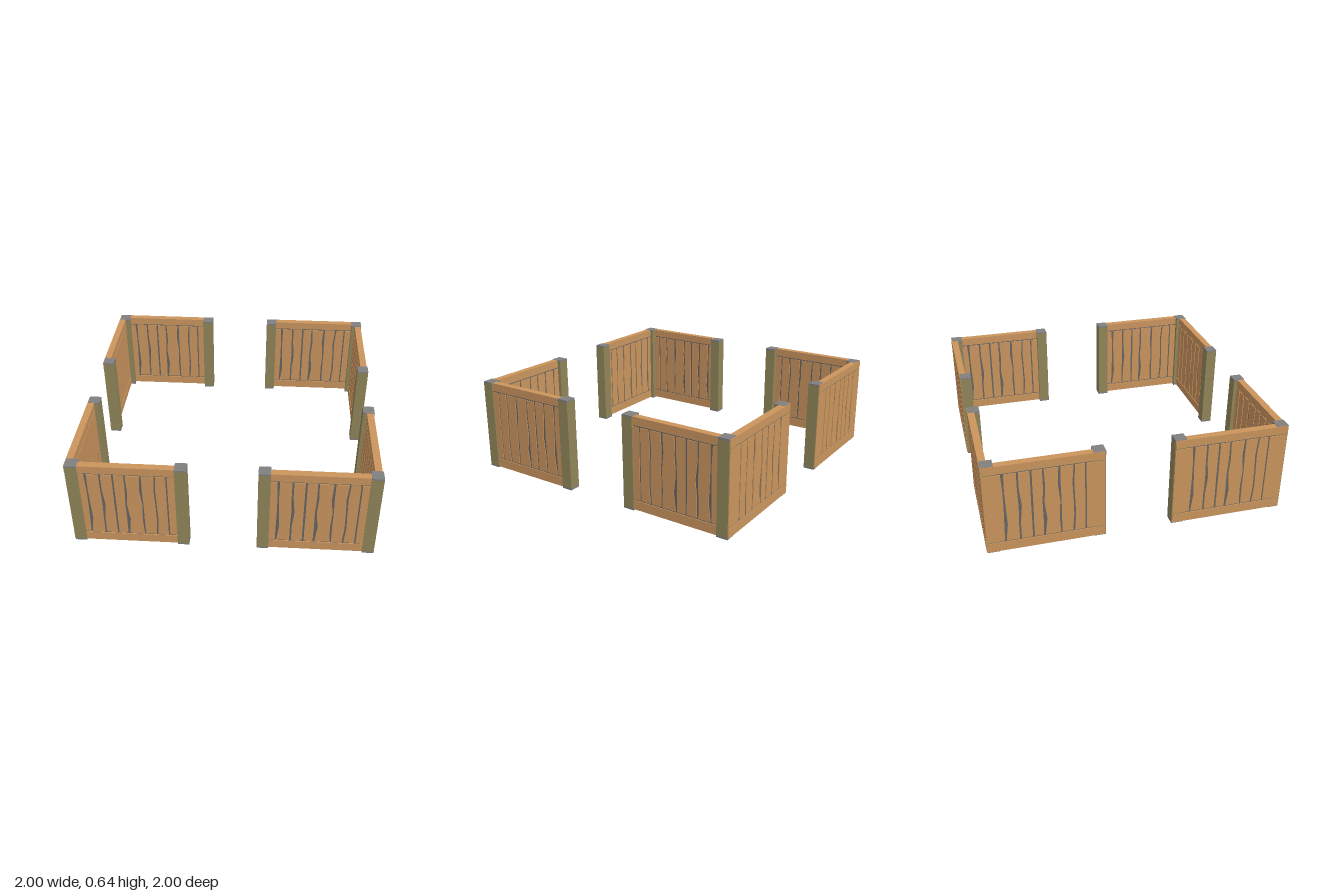
import * as THREE from 'three';

const paint = (color) => new THREE.MeshStandardMaterial({ color, flatShading: true });
const wood = paint(0xcb955e), olive = paint(0x91865a), grey = paint(0x808080), dark = paint(0x666666);

const HEIGHT = 0.64, POST = 0.078, THICK = 0.047, HALF = 0.383;
const PLANK_LOW = 0.078, PLANK_HIGH = 0.573;

// Gaps between planks: centre, then sideways shift and width at five heights (bottom to top)
const GAPS = [
  [-0.258, [-0.006, 0.003, 0.002, 0, -0.002], [0.010, 0.022, 0.014, 0.010, 0.018]],
  [-0.168, [0, 0, 0.008, 0, 0], [0.012, 0.012, 0.020, 0.012, 0.012]],
  [-0.085, [0, 0, 0, 0, 0], [0.012, 0.012, 0.014, 0.012, 0.012]],
  [-0.010, [-0.004, 0.004, -0.004, 0.003, 0], [0.012, 0.024, 0.012, 0.014, 0.010]],
  [0.092, [0.004, 0, 0.004, -0.004, 0], [0.010, 0.014, 0.008, 0.018, 0.012]],
  [0.180, [-0.004, 0.005, 0.002, -0.003, 0.006], [0.012, 0.012, 0.010, 0.012, 0.010]],
  [0.257, [0, 0, 0, 0, 0], [0.010, 0.010, 0.010, 0.010, 0.010]],
];

function box(name, w, h, d, material, x, y, z) {
  const mesh = new THREE.Mesh(new THREE.BoxGeometry(w, h, d), material);
  mesh.name = name;
  mesh.position.set(x, y, z);
  return mesh;
}

// One side of a gap as points going up the plank
function gapEdge([centre, shift, width], side) {
  return shift.map((s, i) => new THREE.Vector2(
    centre + s + side * width[i] / 2,
    THREE.MathUtils.lerp(PLANK_LOW, PLANK_HIGH, i / 4)));
}

const endEdge = (x) => [new THREE.Vector2(x, PLANK_LOW), new THREE.Vector2(x, PLANK_HIGH)];

// Plank wall along x: two rails, uneven planks and a dark core showing in the gaps
function makeWall() {
  const wall = new THREE.Group();
  wall.name = 'wall';
  wall.add(box('bottomRail', 2 * HALF, 0.064, THICK, wood, 0, 0.038, 0));
  wall.add(box('topRail', 2 * HALF, 0.056, THICK, wood, 0, 0.61, 0));
  wall.add(box('core', 2 * HALF - 0.01, 0.53, THICK - 0.012, dark, 0, 0.325, 0));
  const depth = THICK - 0.002;
  for (let i = 0; i <= GAPS.length; i++) {
    const left = i === 0 ? endEdge(-HALF) : gapEdge(GAPS[i - 1], 1);
    const right = i === GAPS.length ? endEdge(HALF) : gapEdge(GAPS[i], -1);
    const shape = new THREE.Shape([...right, ...left.reverse()]);
    const geometry = new THREE.ExtrudeGeometry(shape, { depth, bevelEnabled: false });
    geometry.translate(0, 0, -depth / 2);
    const plank = new THREE.Mesh(geometry, wood);
    plank.name = 'plank';
    wall.add(plank);
  }
  return wall;
}

// Square post with grey ends
function makePost(x, z) {
  const post = new THREE.Group();
  post.name = 'post';
  const cap = 0.012;
  post.add(box('postShaft', POST, HEIGHT - 2 * cap, POST, olive, 0, HEIGHT / 2, 0));
  for (const y of [cap / 2, HEIGHT - cap / 2]) post.add(box('postEnd', POST, cap, POST, grey, 0, y, 0));
  post.position.set(x, 0, z);
  return post;
}

export function createModel() {
  const model = new THREE.Group();
  model.name = 'cornerFences';
  const outer = (s) => (s > 0 ? 0.961 : -0.957);
  const inner = (s) => s * 0.264;
  const wallLine = (s) => (s > 0 ? 0.97 : -0.9765);

  // Four L-shaped corners, each with two walls and three posts
  for (const sx of [-1, 1]) for (const sz of [-1, 1]) {
    const corner = new THREE.Group();
    corner.name = `${sz > 0 ? 'front' : 'back'}${sx > 0 ? 'Left' : 'Right'}Corner`;
    corner.add(makePost(outer(sx), outer(sz)));
    corner.add(makePost(inner(sx), outer(sz)));
    corner.add(makePost(outer(sx), inner(sz)));

    const across = makeWall();
    across.position.set(sx * 0.6125, 0, wallLine(sz));
    const along = makeWall();
    along.rotation.y = -Math.PI / 2;
    along.position.set(wallLine(sx), 0, sz * 0.6125);
    corner.add(across, along);
    model.add(corner);
  }
  return model;
}
